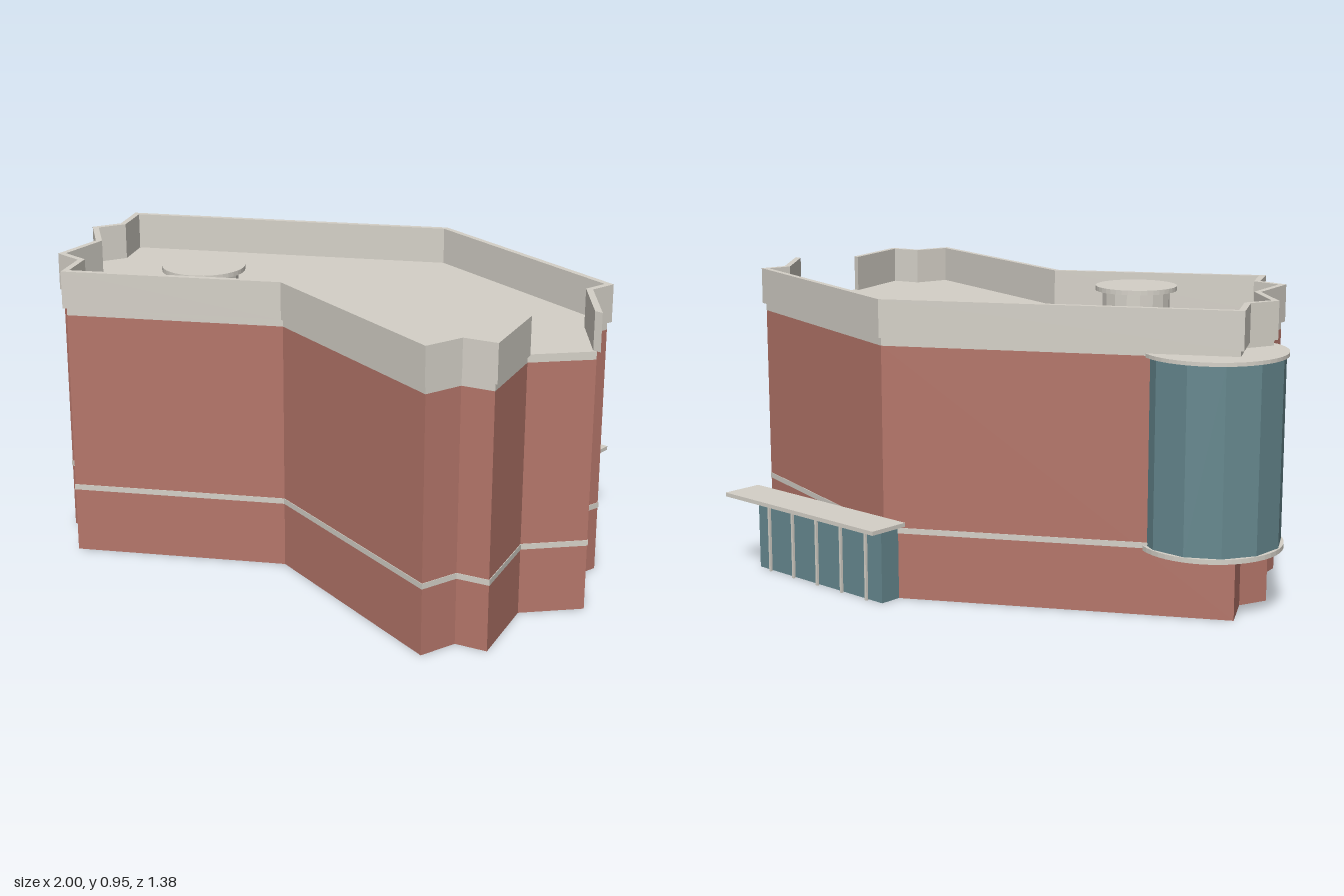
import * as THREE from 'three';

const mat = (color) => new THREE.MeshStandardMaterial({ color, flatShading: true });
const brick = mat(0xb5766a);
const stone = mat(0xd5d1c8);
const glass = mat(0x66888f);

// Footprint as [x, z]
const plan = [
  [-0.91, 0.005], [-0.835, 0.14], [-0.87, 0.235], [-0.725, 0.35],
  [-0.69, 0.54], [-0.585, 0.55], [-0.52, 0.675], [0.075, 0.315],
  [0.8, 0.52], [0.83, 0.397], [0.93, 0.373], [0.85, 0.107],
  [0.985, -0.05], [0.83, -0.235], [0.845, -0.32], [0.04, -0.545],
].map(([x, z]) => new THREE.Vector2(x, -z));

// Moves every edge of the footprint outward by d, with mitred corners
function offset(d) {
  const n = plan.length;
  return plan.map((p, i) => {
    const a = p.clone().sub(plan[(i + n - 1) % n]).normalize();
    const b = plan[(i + 1) % n].clone().sub(p).normalize();
    const na = new THREE.Vector2(a.y, -a.x);
    const nb = new THREE.Vector2(b.y, -b.x);
    const k = d / (1 + na.dot(nb));
    return p.clone().add(na.add(nb).multiplyScalar(k));
  });
}

export function createModel() {
  const group = new THREE.Group();

  const add = (name, geometry, material, x = 0, y = 0, z = 0) => {
    const mesh = new THREE.Mesh(geometry, material);
    mesh.name = name;
    mesh.position.set(x, y, z);
    group.add(mesh);
    return mesh;
  };

  // Upright prism over an outline, from y0 to y1
  const prism = (name, points, y0, y1, material) => {
    const geometry = new THREE.ExtrudeGeometry(new THREE.Shape(points), {
      depth: y1 - y0, bevelEnabled: false,
    });
    geometry.rotateX(-Math.PI / 2);
    return add(name, geometry, material, 0, y0, 0);
  };

  const disc = (name, r, y0, y1, sides, material, x, z, start = 0) =>
    add(name, new THREE.CylinderGeometry(r, r, y1 - y0, sides, 1, false, start),
      material, x, (y0 + y1) / 2, z);

  const box = (name, x0, x1, y0, y1, z0, z1, material) =>
    add(name, new THREE.BoxGeometry(x1 - x0, y1 - y0, z1 - z0), material,
      (x0 + x1) / 2, (y0 + y1) / 2, (z0 + z1) / 2);

  // Main block, string course and roof slab
  prism('walls', plan, 0, 0.805, brick);
  prism('stringCourse', offset(0.002), 0.212, 0.23, stone);
  prism('roofSlab', plan, 0.805, 0.83, stone);

  // Parapet, left open along one edge on the +x side
  const gap = 12;
  const openAtGap = (pts) => [...pts.slice(gap), ...pts.slice(0, gap)];
  const outer = openAtGap(offset(0.01));
  const inner = openAtGap(offset(-0.01));
  prism('parapet', [...outer, ...inner.reverse()], 0.83, 0.95, stone);

  // Round glazed bay at the corner
  const bayX = -0.775, bayZ = 0.06;
  disc('bayGlass', 0.22, 0.22, 0.8, 12, glass, bayX, bayZ, Math.PI / 12);
  disc('bayFloor', 0.225, 0.205, 0.22, 48, stone, bayX, bayZ);
  disc('bayRoof', 0.225, 0.8, 0.812, 48, stone, bayX, bayZ);

  // Roof vent
  disc('ventStem', 0.11, 0.83, 0.92, 16, stone, -0.285, 0.297);
  disc('ventCap', 0.133, 0.92, 0.935, 40, stone, -0.285, 0.297);

  // Entrance at the back with canopy and mullions
  box('entranceGlass', 0, 0.585, 0, 0.24, -0.595, -0.52, glass);
  box('canopy', -0.06, 0.64, 0.25, 0.263, -0.688, -0.55, stone);
  for (let i = -2; i <= 2; i++) {
    const x = 0.29 + i * 0.115;
    box('mullion', x - 0.004, x + 0.004, 0, 0.24, -0.61, -0.602, stone);
  }

  return group;
}
